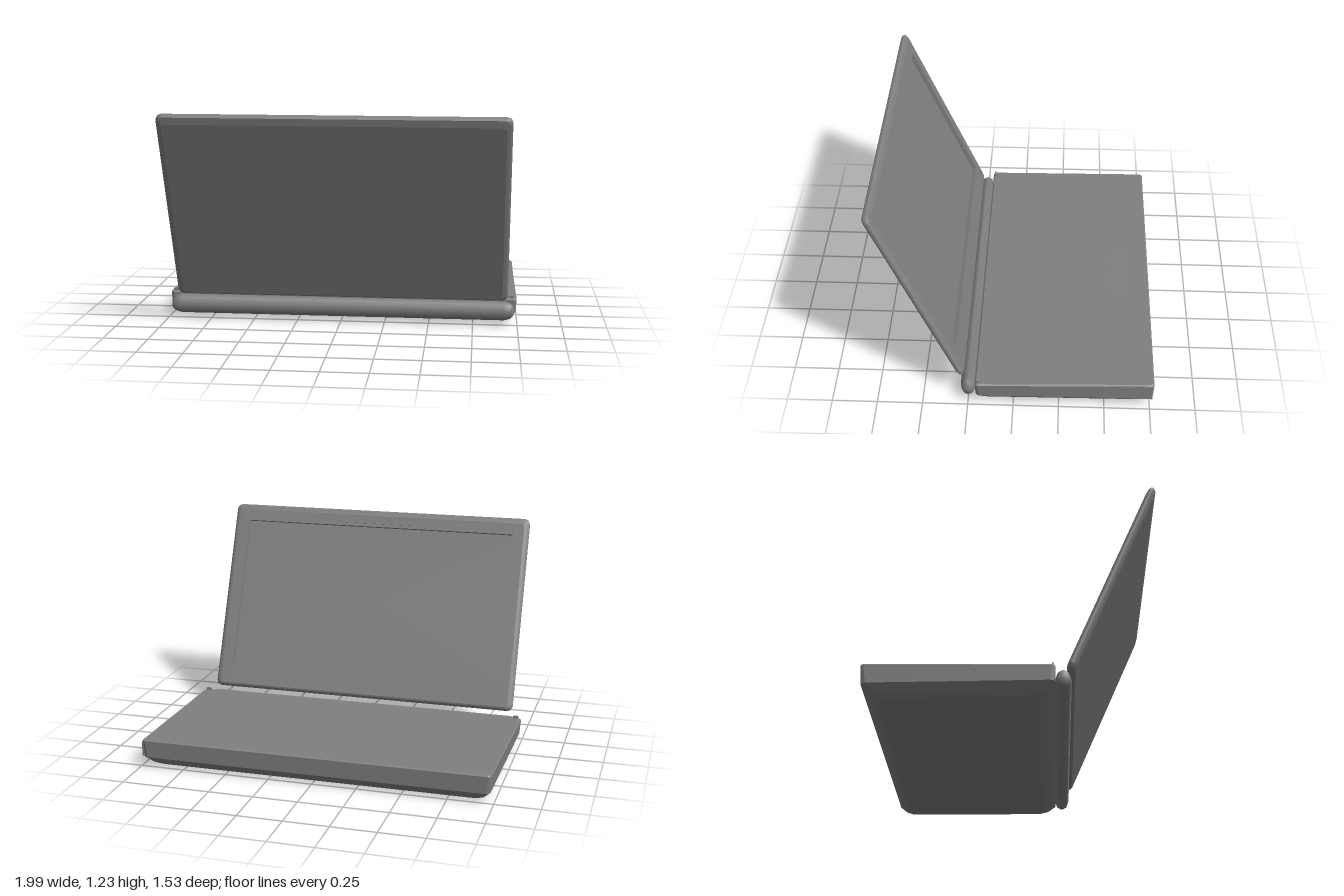
import * as THREE from 'three';
import { toCreasedNormals } from 'three/addons/utils/BufferGeometryUtils.js';

const grey = new THREE.MeshStandardMaterial({ color: 0x808080 });

// Rounded rectangle in the XZ plane at height y
function ring([x0, x1, z0, z1, r, y]) {
  const corners = [[x1 - r, z1 - r], [x0 + r, z1 - r], [x0 + r, z0 + r], [x1 - r, z0 + r]];
  const pts = [];
  corners.forEach(([cx, cz], k) => {
    for (let s = 0; s <= 2; s++) {
      const a = (k + s / 2) * Math.PI / 2;
      pts.push(new THREE.Vector3(cx + r * Math.cos(a), y, cz + r * Math.sin(a)));
    }
  });
  return pts;
}

// Capped skin through a stack of rounded rectangles
function loft(specs, warp = () => {}) {
  const rings = specs.map(ring);
  rings.flat().forEach(warp);
  const pos = [];
  const tri = (...vs) => vs.forEach(v => pos.push(v.x, v.y, v.z));
  const n = rings[0].length;
  const centre = r => r.reduce((s, v) => s.add(v), new THREE.Vector3()).divideScalar(n);
  const first = rings[0], last = rings[rings.length - 1];
  const c0 = centre(first), c1 = centre(last);
  for (let i = 0; i < n; i++) {
    const j = (i + 1) % n;
    for (let k = 0; k + 1 < rings.length; k++) {
      const p = rings[k], q = rings[k + 1];
      tri(p[i], q[i], p[j]);
      tri(q[i], q[j], p[j]);
    }
    tri(c0, first[i], first[j]);
    tri(c1, last[j], last[i]);
  }
  const g = new THREE.BufferGeometry();
  g.setAttribute('position', new THREE.Float32BufferAttribute(pos, 3));
  return toCreasedNormals(g, 0.12);
}

function add(parent, name, geometry, x = 0, y = 0, z = 0) {
  const m = new THREE.Mesh(geometry, grey);
  m.name = name;
  m.position.set(x, y, z);
  parent.add(m);
}

export function createModel() {
  const model = new THREE.Group();
  model.name = 'laptop';

  // Base: undercut bottom, upright sides, top rising slightly to the palm edge
  const base = new THREE.Group();
  base.name = 'base';
  model.add(base);
  add(base, 'baseBody', loft([
    [-0.93, 0.93, -0.695, 0.13, 0.03, 0],
    [-0.96, 0.96, -0.73, 0.17, 0.03, 0.02],
    [-0.995, 0.995, -0.767, 0.208, 0.025, 0.06],
    [-1, 1, -0.77, 0.21, 0.015, 0.142],
    [-0.993, 0.993, -0.763, 0.203, 0.012, 0.149],
  ], v => {
    if (v.y > 0.1) v.y -= 0.02 * v.z;
    v.x *= 0.997 + 0.012 * Math.min(0, v.z - 0.2);
  }));

  // Touchpad, level, so only its rear edge stands clear of the sloping deck
  add(base, 'touchpad', new THREE.BoxGeometry(0.45, 0.01, 0.2), 0, 0.1567, -0.63);

  // Drive tray on the left side
  add(base, 'driveTray', new THREE.BoxGeometry(0.012, 0.086, 0.27), 0.983, 0.108, -0.627);

  // Small raised corners beside the hinge
  for (const side of [-1, 1]) {
    add(base, 'hingeCorner', new THREE.BoxGeometry(0.03, 0.02, 0.01), side * 0.965, 0.15, 0.197);
  }

  // Hinge bar: eight sides with rounded ends
  const profile = [[0, -0.978], [0.032, -0.975], [0.046, -0.958], [0.055, -0.925],
    [0.055, 0.925], [0.046, 0.958], [0.032, 0.975], [0, 0.978]]
    .map(([r, h]) => new THREE.Vector2(r, h));
  const bar = new THREE.LatheGeometry(profile, 8).rotateZ(Math.PI / 2).scale(1, 1, 0.78);
  add(model, 'hingeBar', bar, 0, 0.083, 0.248);

  // Lid: rounded-edge slab with a recessed screen; local +y is the screen side, +z the top edge
  const lid = new THREE.Group();
  lid.name = 'lid';
  lid.position.set(0.007, 0.69, 0.516);
  lid.rotation.x = -1.16;
  model.add(lid);
  add(lid, 'lidShell', loft([
    [-0.908, 0.908, -0.565, 0.535, 0.02, -0.024],
    [-0.925, 0.925, -0.575, 0.574, 0.025, -0.018],
    [-0.937, 0.937, -0.584, 0.584, 0.03, -0.007],
    [-0.937, 0.937, -0.584, 0.584, 0.03, 0.007],
    [-0.925, 0.925, -0.574, 0.572, 0.025, 0.018],
    [-0.908, 0.908, -0.565, 0.55, 0.02, 0.023],
    [-0.842, 0.842, -0.445, 0.48, 0.002, 0.023],
    [-0.842, 0.842, -0.445, 0.48, 0.002, -0.002],
  ]));
  add(lid, 'lidLatch', new THREE.BoxGeometry(0.51, 0.006, 0.014), 0, 0.024, 0.506);

  return model;
}
